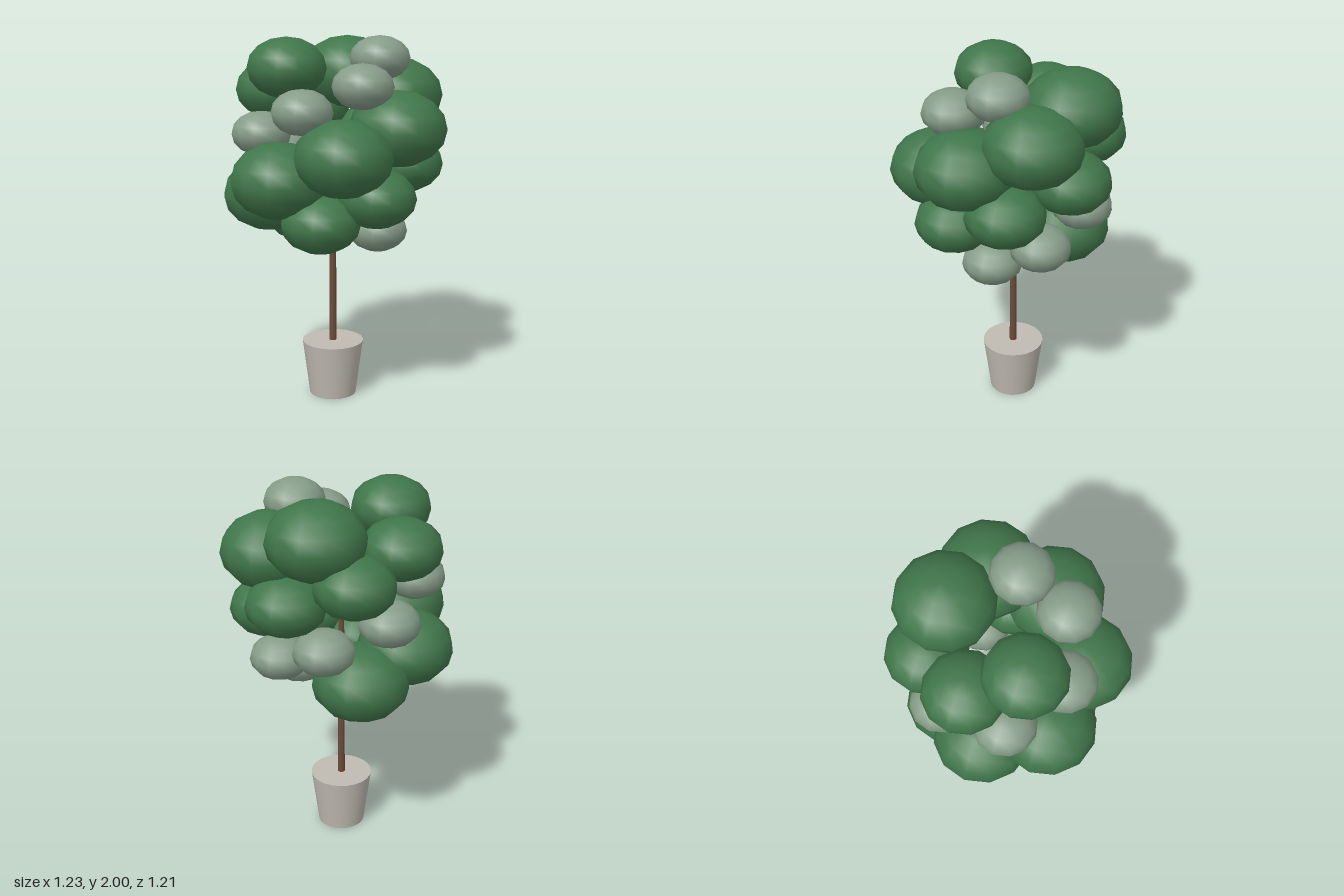
import * as THREE from 'three';

const material = (name, color) => {
  const m = new THREE.MeshStandardMaterial({ color });
  m.name = name;
  return m;
};

export function createModel() {
  const tree = new THREE.Group();
  tree.name = 'pottedTree';
  const darkLeaf = material('dark green leaves', 0x40764a);
  const paleLeaf = material('sage green leaves', 0x869c88);
  const bark = material('brown bark', 0x6b4c39);
  const clay = material('pale stone', 0xbfbab1);

  const add = (name, geometry, mat, x, y, z) => {
    const mesh = new THREE.Mesh(geometry, mat);
    mesh.name = name;
    mesh.position.set(x, y, z);
    tree.add(mesh);
    return mesh;
  };

  // Tapered pot and slender trunk share one axis
  const axisX = -0.01, axisZ = -0.03;
  add('pot', new THREE.CylinderGeometry(0.17, 0.13, 0.31, 24), clay, axisX, 0.155, axisZ);
  add('trunk', new THREE.CylinderGeometry(0.016, 0.021, 1.0, 8), bark, axisX, 0.8, axisZ);

  // Squashed leaf clusters, each list spiralling upwards: [x, y, z]
  const leafBall = new THREE.SphereGeometry(1, 12, 8);
  const clusters = (name, mat, rx, ry, centres) => centres.forEach(([x, y, z], i) => {
    add(name + (i + 1), leafBall, mat, x, y, z).scale.set(rx, ry, rx);
  });

  clusters('largeLeafCluster', darkLeaf, 0.258, 0.2, [
    [-0.19, 1.015, -0.255],
    [-0.36, 1.14, -0.02],
    [-0.235, 1.27, 0.285],
    [0.11, 1.405, 0.345],
    [0.355, 1.53, 0.1],
    [0.3, 1.675, -0.235],
    [0.015, 1.785, -0.345],
  ]);
  clusters('mediumLeafCluster', darkLeaf, 0.212, 0.158, [
    [-0.02, 1.05, 0.275],
    [0.26, 1.18, 0.2],
    [0.365, 1.315, -0.115],
    [0.16, 1.45, -0.39],
    [-0.19, 1.58, -0.37],
    [-0.35, 1.705, -0.1],
    [-0.22, 1.84, 0.155],
  ]);
  clusters('paleLeafCluster', paleLeaf, 0.162, 0.118, [
    [0.24, 0.965, 0],
    [0.25, 1.1, -0.265],
    [-0.04, 1.225, -0.4],
    [-0.335, 1.36, -0.25],
    [-0.37, 1.49, 0.11],
    [-0.105, 1.63, 0.32],
    [0.19, 1.755, 0.225],
    [0.24, 1.882, -0.035],
  ]);
  return tree;
}
